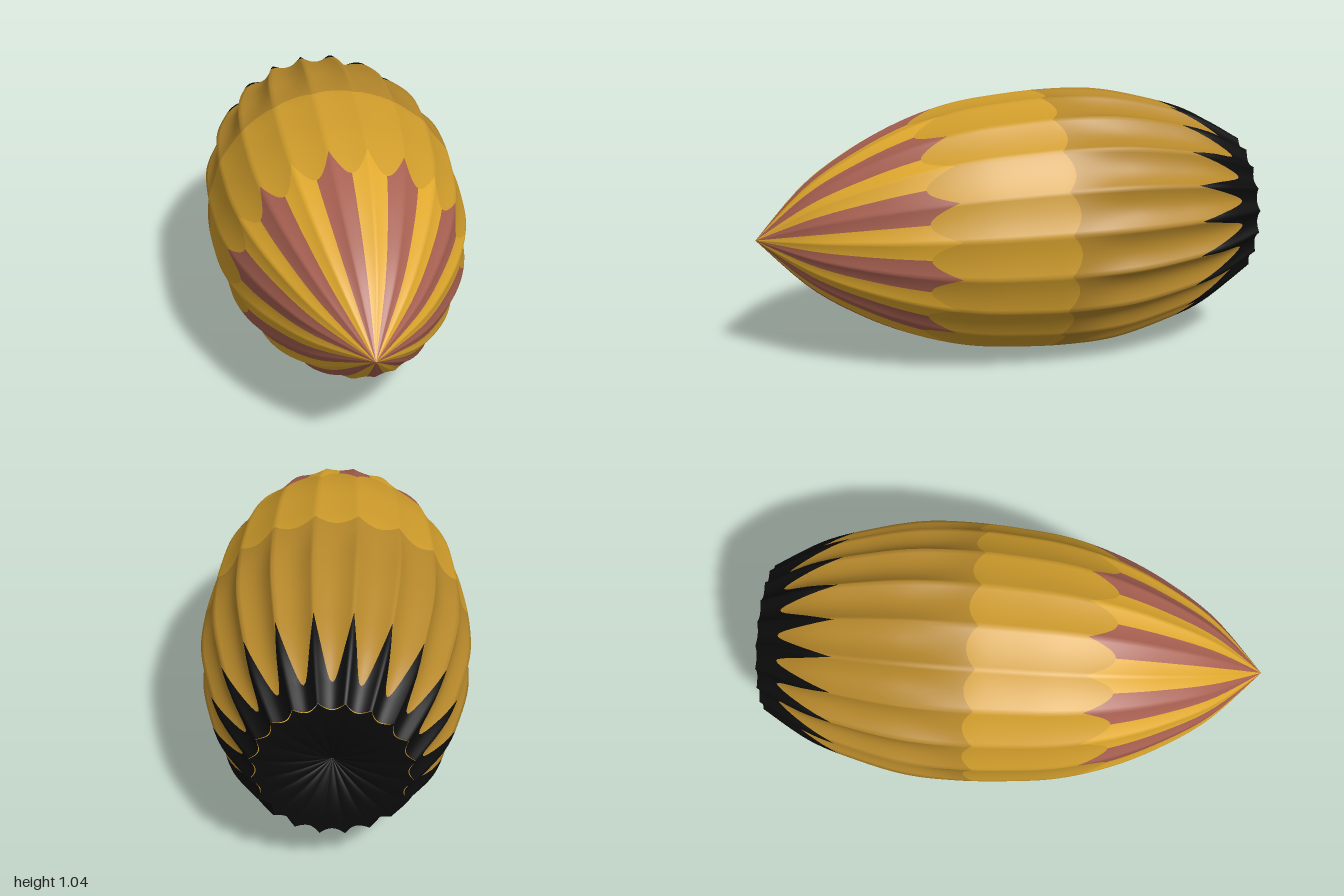
import * as THREE from 'three';

const PANELS = 20, STEP = Math.PI * 2 / PANELS, CENTRE_Y = 0.522;

// ridge radius at even steps along the axis, from the pointed nose (z = 1) to the blunt tail (z = -1)
const profile = new THREE.SplineCurve(
  [0, 0.205, 0.338, 0.432, 0.49, 0.515, 0.526, 0.518, 0.475, 0.41, 0.295].map((r, i) => new THREE.Vector2(1 - i * 0.2, r)));

// 0 in the valley of a panel, 1 on the ridge between two panels
const ridge = (a) => {
  const k = a / STEP;
  return (2 * Math.abs(k - Math.round(k))) ** 2;
};

// rib depth grows toward the back
const depth = (z) => 0.012 + 0.02 * THREE.MathUtils.smoothstep(-z, 0.1, 0.4);

// point on the ribbed hull; z runs from 1 to -1
function hull(z, a) {
  const p = profile.getPoint(THREE.MathUtils.clamp((1 - z) / 2, 0, 1));
  const r = p.y - depth(z) * Math.min(1, p.y / 0.35) * (1 - ridge(a));
  return new THREE.Vector3(r * Math.cos(a), CENTRE_Y + r * Math.sin(a), p.x);
}

// point on the dimpled tail; t runs from the rim (0) to the middle (1)
function tail(t, a) {
  const r = (0.295 - 0.03 * (1 - ridge(a))) * (1 - t);
  const z = -1 + 0.07 * t * t;
  return new THREE.Vector3(r * Math.cos(a), CENTRE_Y + r * Math.sin(a), z);
}

// skin between two edge curves over the given angle ranges, with smooth normals
function skin(name, color, point, from, to, rows, ranges) {
  const cols = 12, pos = [], nor = [], index = [], e = 1e-3;
  for (const [a0, a1] of ranges) {
    const base = pos.length / 3;
    for (let i = 0; i <= rows; i++) {
      for (let j = 0; j <= cols; j++) {
        const a = a0 + (a1 - a0) * j / cols;
        const s0 = from(a), s1 = to(a), s = s0 + (s1 - s0) * i / rows;
        const d = Math.sign(s1 - s0) * e;
        const along = point(s + d, a).sub(point(s - d, a));
        const around = point(s, a + 0.02).sub(point(s, a - 0.02));
        pos.push(...point(s, a).toArray());
        nor.push(...along.cross(around).normalize().toArray());
        if (i < rows && j < cols) {
          const v = base + i * (cols + 1) + j, w = v + cols + 1;
          index.push(v, w, v + 1, w, w + 1, v + 1);
        }
      }
    }
  }
  const g = new THREE.BufferGeometry();
  g.setAttribute('position', new THREE.Float32BufferAttribute(pos, 3));
  g.setAttribute('normal', new THREE.Float32BufferAttribute(nor, 3));
  g.setIndex(index);
  const mesh = new THREE.Mesh(g, new THREE.MeshStandardMaterial({ color, side: THREE.DoubleSide }));
  mesh.name = name;
  return mesh;
}

export function createModel() {
  const group = new THREE.Group();
  group.name = 'ribbedPod';

  // angle ranges from valley to valley; odd ones are red at the nose
  const all = Array.from({ length: PANELS }, (_, k) => [k * STEP, (k + 1) * STEP]);
  const odd = all.filter((_, k) => k % 2 === 1), even = all.filter((_, k) => k % 2 === 0);

  // scalloped edges between the colour bands
  const nose = () => 0.998;
  const noseEdge = (a) => 0.39 - 0.11 * ridge(a);
  const waist = (a) => -0.17 + 0.04 * ridge(a);
  const tailEdge = (a) => -0.9 + 0.22 * ridge(a);
  const rim = () => -0.998;

  group.add(
    skin('noseRedStripes', 0xa65f50, hull, nose, noseEdge, 16, odd),
    skin('noseYellowStripes', 0xdfa82d, hull, nose, noseEdge, 16, even),
    skin('middleBand', 0xcf9c2b, hull, noseEdge, waist, 14, all),
    skin('rearBand', 0xb5872a, hull, waist, tailEdge, 18, all),
    skin('blackTailPoints', 0x0b0b0b, hull, tailEdge, rim, 10, all),
    skin('blackTailDimple', 0x0b0b0b, tail, () => 0, () => 0.998, 10, all));
  return group;
}
